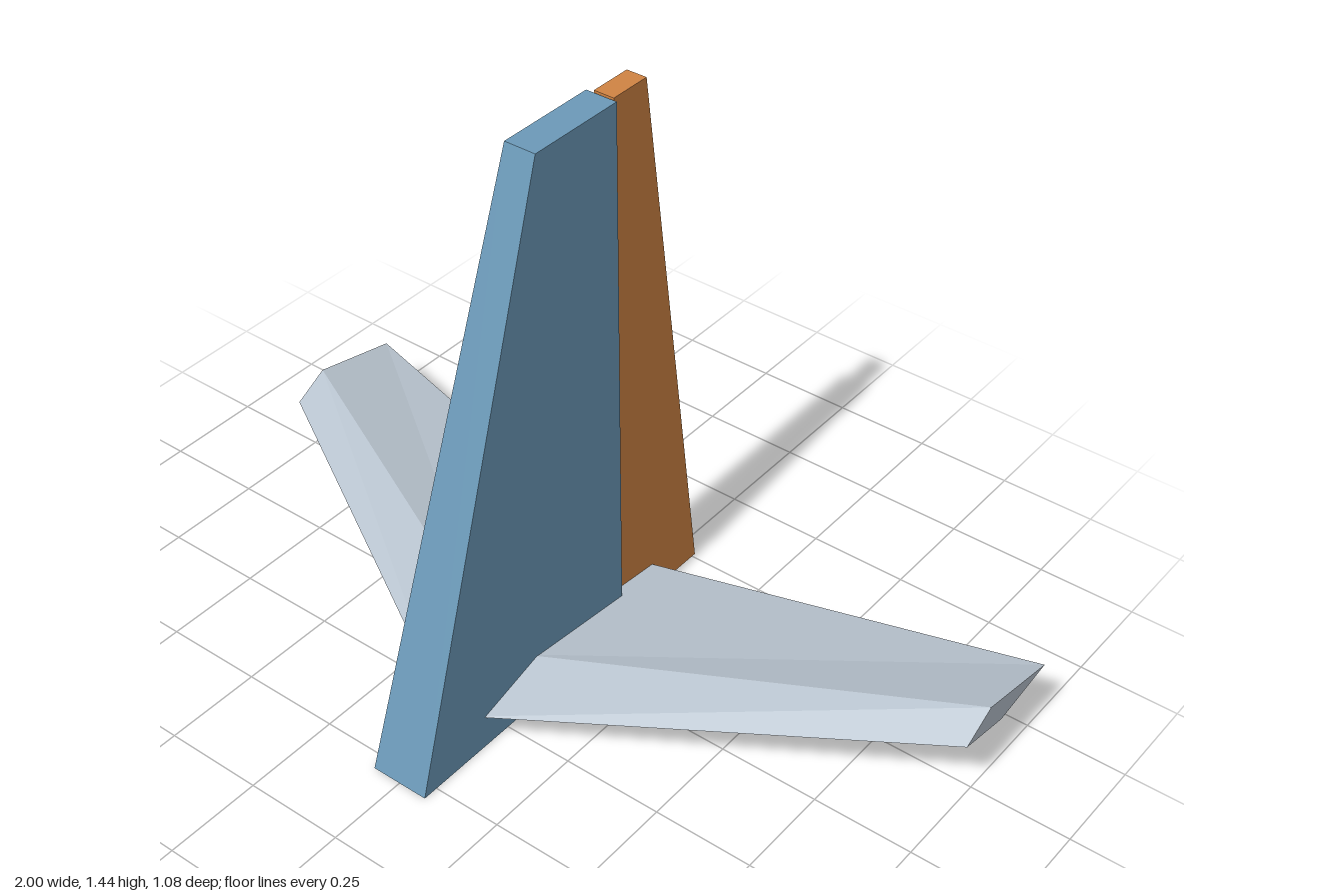
import * as THREE from 'three';

// Flat-shaded solid between two matching rings of points
function loft(a, b, mirrored = false) {
  const pos = [];
  const tri = (p, q, r) => {
    for (const v of mirrored ? [p, r, q] : [p, q, r]) pos.push(mirrored ? -v[0] : v[0], v[1], v[2]);
  };
  const n = a.length;
  for (let i = 0; i < n; i++) {
    const j = (i + 1) % n;
    tri(a[i], a[j], b[i]);
    tri(a[j], b[j], b[i]);
  }
  for (let i = 1; i < n - 1; i++) {
    tri(b[0], b[i], b[i + 1]);
    tri(a[0], a[i + 1], a[i]);
  }
  const geometry = new THREE.BufferGeometry();
  geometry.setAttribute('position', new THREE.Float32BufferAttribute(pos, 3));
  geometry.computeVertexNormals();
  return geometry;
}

// Horizontal rectangle: half width, height, front z, back z
const slab = (w, y, front, back) => [[w, y, front], [w, y, back], [-w, y, back], [-w, y, front]];

function createModel() {
  const model = new THREE.Group();
  model.name = 'tailAssembly';

  const material = (name, color) => {
    const m = new THREE.MeshStandardMaterial({ color });
    m.name = name;
    return m;
  };
  const blue = material('finBlue', 0x6c9ab9);
  const orange = material('rudderOrange', 0xd08444);
  const grey = material('stabilizerGrey', 0xb8c3ce);

  const add = (name, geometry, mat) => {
    const mesh = new THREE.Mesh(geometry, mat);
    mesh.name = name;
    model.add(mesh);
  };

  // Tapered vertical fin and the rudder hinged behind it
  add('verticalFin', loft(slab(0.075, 0, 0.54, -0.18), slab(0.04, 1.44, 0.1, -0.165)), blue);
  add('rudder', loft(slab(0.048, 0, -0.186, -0.512), slab(0.026, 1.44, -0.173, -0.285)), orange);

  // Swept stabilizers: leading edge, keel, trailing edge, ridge
  const root = [[0.04, 0.084, 0.347], [0.04, 0.052, 0.02], [0.04, 0.084, -0.332], [0.04, 0.136, 0.155]];
  const tip = [[1, 0.16, -0.203], [1, 0.13, -0.355], [1, 0.16, -0.54], [1, 0.211, -0.295]];
  add('leftStabilizer', loft(root, tip), grey);
  add('rightStabilizer', loft(root, tip, true), grey);

  return model;
}

export { createModel };
